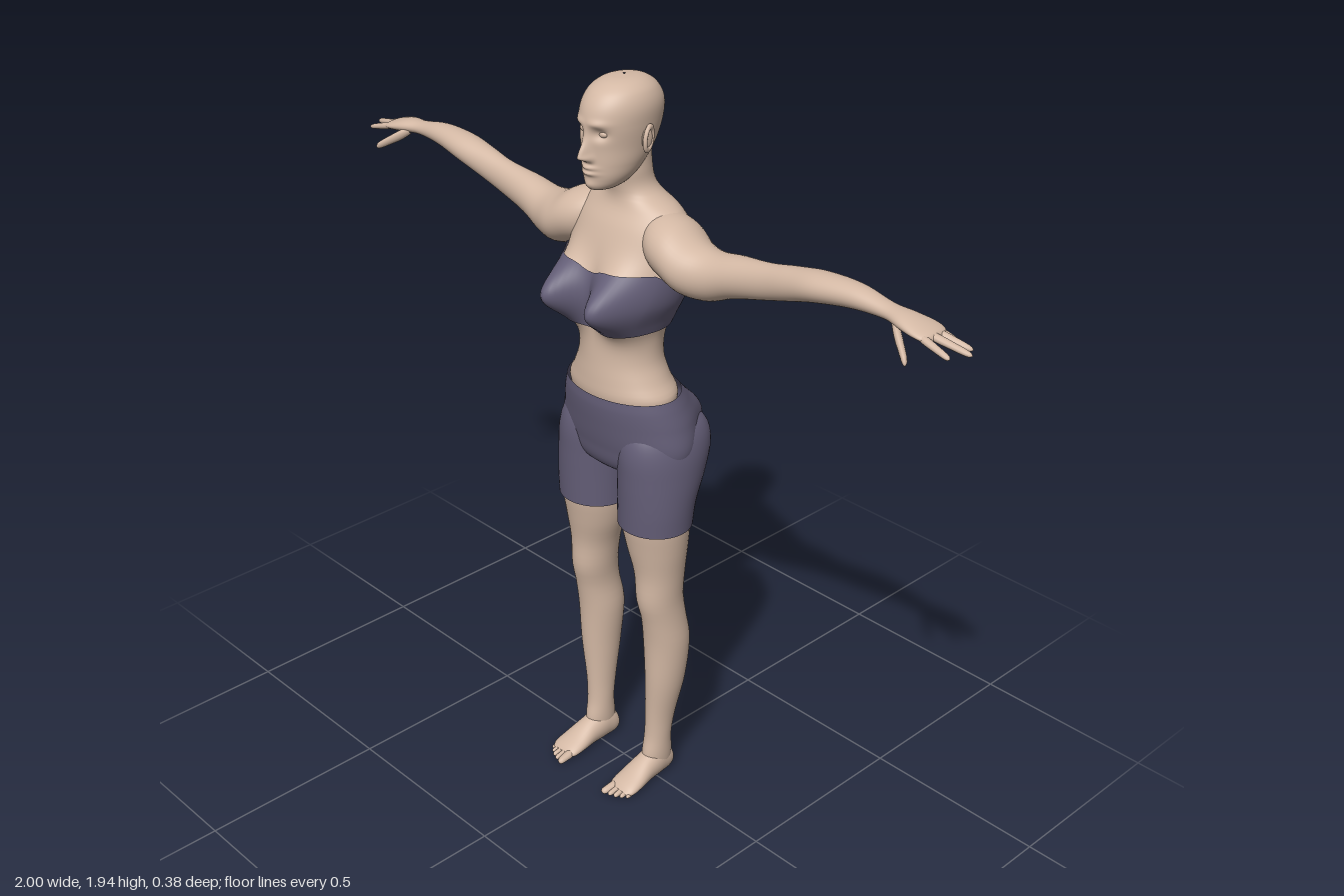
import * as THREE from 'three';

const skin = new THREE.MeshStandardMaterial({ color: 0xd3b8a4 });
skin.name = 'skin';
const cloth = new THREE.MeshStandardMaterial({ color: 0x635d76, side: THREE.DoubleSide });
cloth.name = 'cloth';

const bell = (d, s) => Math.exp(-((d / s) ** 2));

// Smooth interpolation of cross-sections [t, cosCentre, cosRadius, sinCentre, sinRadius]
function sample(sec, t) {
  let i = 0;
  while (i < sec.length - 2 && t > sec[i + 1][0]) i++;
  const p = sec[i], q = sec[i + 1], h = q[0] - p[0], u = (t - p[0]) / h;
  const slope = (k, c) => {
    const a = sec[Math.max(k - 1, 0)], b = sec[Math.min(k + 1, sec.length - 1)];
    return (b[c] - a[c]) / (b[0] - a[0]);
  };
  return [1, 2, 3, 4].map((c) => {
    const u2 = u * u, u3 = u2 * u;
    return (2 * u3 - 3 * u2 + 1) * p[c] + (u3 - 2 * u2 + u) * h * slope(i, c)
      + (3 * u2 - 2 * u3) * q[c] + (u3 - u2) * h * slope(i + 1, c);
  });
}

// Closed-around surface from a rule (v, angle) -> [x, y, z]
function surface(rows, seg, fn) {
  const pos = [], idx = [];
  for (let i = 0; i <= rows; i++) {
    for (let j = 0; j < seg; j++) pos.push(...fn(i / rows, (j / seg) * Math.PI * 2));
  }
  for (let i = 0; i < rows; i++) {
    for (let j = 0; j < seg; j++) {
      const a = i * seg + j, b = i * seg + (j + 1) % seg;
      idx.push(a, b, a + seg, b, b + seg, a + seg);
    }
  }
  const g = new THREE.BufferGeometry();
  g.setAttribute('position', new THREE.Float32BufferAttribute(pos, 3));
  g.setIndex(idx);
  g.computeVertexNormals();
  return g;
}

// Point on a loft along the given axis
function point(axis, sec, t, a, grow = 0) {
  const [c, rc, s, rs] = sample(sec, t);
  const p = c + (rc + grow) * Math.cos(a), q = s + (rs + grow) * Math.sin(a);
  return axis === 'y' ? [q, t, p] : axis === 'x' ? [t, p, q] : [p, q, t];
}

function loft(axis, sec, rows, seg, rule = (p) => p) {
  const t0 = sec[0][0], t1 = sec[sec.length - 1][0];
  return surface(rows, seg, (v, a) =>
    rule(point(axis, sec, t0 + (t1 - t0) * (1 - Math.cos(Math.PI * v)) / 2, a), a));
}

function mirrored(geo) {
  const g = geo.clone().scale(-1, 1, 1), ix = g.index.array;
  for (let i = 0; i < ix.length; i += 3) [ix[i], ix[i + 1]] = [ix[i + 1], ix[i]];
  g.computeVertexNormals();
  return g;
}

// Upright sections given as [y, zFront, zBack, xCentre, xRadius]
const upright = (list) => list.map(([y, f, b, x, r]) => [y, (f + b) / 2, (f - b) / 2, x, r]);

const torso = upright([
  [1.05, 0.08, -0.08, 0, 0.13], [1.16, 0.108, -0.104, 0, 0.158], [1.2, 0.108, -0.094, 0, 0.135],
  [1.25, 0.104, -0.086, 0, 0.113], [1.31, 0.1, -0.092, 0, 0.111], [1.36, 0.1, -0.11, 0, 0.127],
  [1.42, 0.1, -0.124, 0, 0.155], [1.48, 0.095, -0.131, 0, 0.167], [1.54, 0.08, -0.136, 0, 0.172],
  [1.59, 0.06, -0.13, 0, 0.165], [1.63, 0.037, -0.112, 0, 0.128], [1.655, 0.032, -0.095, 0, 0.078],
  [1.68, 0.036, -0.082, 0, 0.057], [1.72, 0.045, -0.074, 0, 0.052], [1.78, 0.04, -0.07, 0, 0.05],
]);
// Bust on the front, spine groove on the back
const torsoRule = ([x, y, z], a) => {
  const c = Math.cos(a);
  if (c > 0) z += 0.105 * bell(Math.abs(x) - 0.083, 0.055) * bell(y - 1.418, 0.072) * Math.min(1, c * 2.5);
  else z += 0.012 * bell(x, 0.022) * bell(y - 1.4, 0.2);
  return [x, y, z];
};

const pelvis = upright([
  [0.925, 0.03, -0.05, 0, 0.09], [0.96, 0.08, -0.1, 0, 0.175], [1.02, 0.098, -0.132, 0, 0.204],
  [1.09, 0.11, -0.14, 0, 0.192], [1.135, 0.115, -0.125, 0, 0.177], [1.163, 0.114, -0.11, 0, 0.165],
]);
const pelvisRule = ([x, y, z], a) => {
  const c = Math.cos(a);
  if (c < 0) z -= 0.056 * bell(Math.abs(x) - 0.085, 0.06) * bell(y - 1.05, 0.07) * Math.min(1, -c * 2);
  return [x, y, z];
};
const shortLeg = upright([
  [0.805, 0.09, -0.097, 0.11, 0.097], [0.87, 0.092, -0.108, 0.111, 0.099], [0.95, 0.094, -0.145, 0.109, 0.102],
  [1.02, 0.094, -0.168, 0.105, 0.1], [1.07, 0.08, -0.15, 0.1, 0.085], [1.1, 0.05, -0.08, 0.1, 0.05],
]);
const leg = upright([
  [0.03, 0.02, -0.06, 0.112, 0.028], [0.07, 0.03, -0.063, 0.112, 0.032], [0.13, 0.021, -0.058, 0.113, 0.033],
  [0.2, 0.02, -0.068, 0.116, 0.036], [0.32, 0.025, -0.09, 0.124, 0.049], [0.44, 0.03, -0.1, 0.125, 0.057],
  [0.52, 0.042, -0.086, 0.126, 0.052], [0.58, 0.056, -0.078, 0.123, 0.054], [0.66, 0.057, -0.08, 0.12, 0.063],
  [0.74, 0.07, -0.087, 0.113, 0.081], [0.82, 0.082, -0.091, 0.11, 0.092], [0.9, 0.08, -0.09, 0.11, 0.09],
]);
const foot = [
  [-0.072, 0.108, 0.004, 0.034, 0.004], [-0.062, 0.108, 0.024, 0.035, 0.03], [-0.02, 0.11, 0.033, 0.045, 0.048],
  [0.03, 0.112, 0.036, 0.037, 0.04], [0.08, 0.114, 0.042, 0.024, 0.026], [0.115, 0.115, 0.041, 0.016, 0.016],
  [0.13, 0.114, 0.03, 0.014, 0.006],
];
const arm = [
  [0.07, 1.575, 0.05, -0.035, 0.05], [0.12, 1.562, 0.068, -0.028, 0.08], [0.17, 1.549, 0.072, -0.02, 0.085],
  [0.22, 1.529, 0.067, -0.014, 0.077], [0.28, 1.524, 0.061, -0.018, 0.06], [0.35, 1.543, 0.052, -0.02, 0.048],
  [0.45, 1.565, 0.044, -0.016, 0.035], [0.52, 1.583, 0.041, -0.016, 0.038], [0.6, 1.602, 0.036, -0.015, 0.043],
  [0.7, 1.612, 0.028, -0.018, 0.034], [0.79, 1.607, 0.018, -0.018, 0.025], [0.84, 1.603, 0.018, -0.016, 0.036],
  [0.885, 1.595, 0.014, -0.02, 0.044], [0.91, 1.59, 0.009, -0.02, 0.034], [0.917, 1.588, 0.001, -0.02, 0.005],
];
const head = upright([
  [1.683, 0.09, 0.06, 0, 0.006], [1.69, 0.105, 0.02, 0, 0.03], [1.715, 0.113, -0.02, 0, 0.053],
  [1.75, 0.115, -0.055, 0, 0.066], [1.79, 0.116, -0.084, 0, 0.073], [1.84, 0.121, -0.102, 0, 0.08],
  [1.88, 0.113, -0.102, 0, 0.081], [1.91, 0.093, -0.086, 0, 0.071], [1.928, 0.066, -0.064, 0, 0.053],
  [1.937, 0.037, -0.037, 0, 0.03], [1.94, 0.003, -0.003, 0, 0.003],
]);
// Nose, eye sockets, brow, lips and chin
const faceRule = ([x, y, z], a) => {
  if (Math.cos(a) > 0.2) {
    const e = Math.abs(x);
    z += 0.03 * bell(x, 0.012) * bell(y - 1.772, y < 1.772 ? 0.011 : 0.034);
    z += 0.008 * bell(e - 0.012, 0.007) * bell(y - 1.768, 0.009);
    z -= 0.013 * bell(e - 0.031, 0.017) * bell(y - 1.826, 0.014);
    z += 0.005 * bell(e - 0.03, 0.022) * bell(y - 1.85, 0.009);
    z += 0.009 * bell(x, 0.021) * (bell(y - 1.745, 0.006) + bell(y - 1.731, 0.006));
    z += 0.005 * bell(x, 0.02) * bell(y - 1.7, 0.012);
  }
  return [x, y, z];
};

// Rounded digit along an axis between two ends [t, cosPos, sinPos], with cos and sin radii
function digit(axis, A, B, rc, rs) {
  const sec = [[0, 0.7], [0.3, 1], [0.6, 0.9], [0.9, 0.72], [0.97, 0.45], [1, 0.02]].map(([u, k]) => {
    const m = A.map((n, i) => n + (B[i] - n) * u);
    return [m[0], m[1], rc * k, m[2], rs * k];
  });
  return loft(axis, sec, 14, 12);
}

export function createModel() {
  const model = new THREE.Group();
  const add = (name, geo, mat = skin) => {
    const mesh = new THREE.Mesh(geo, mat);
    mesh.name = name;
    model.add(mesh);
  };
  const pair = (name, geo, mat) => {
    add('left' + name, geo, mat);
    add('right' + name, mirrored(geo), mat);
  };

  add('torsoAndNeck', loft('y', torso, 90, 80, torsoRule));
  add('head', loft('y', head, 130, 128, faceRule));

  // Bandeau: low under the arms, small notch at the centre front
  add('bandeauTop', surface(36, 96, (v, a) => {
    const c = Math.cos(a), s = Math.sin(a);
    const top = 1.465 + (c > 0 ? 0.035 * Math.min(1, c * 2) - 0.018 * bell(s, 0.2) : -0.015 * bell(c + 0.3, 0.25));
    return torsoRule(point('y', torso, 1.34 + (top - 1.34) * v, a, 0.006), a);
  }), cloth);

  add('shortsHips', loft('y', pelvis, 50, 80, pelvisRule), cloth);
  pair('ShortsLeg', loft('y', shortLeg, 30, 48), cloth);
  pair('Leg', loft('y', leg, 60, 40));
  pair('Arm', loft('x', arm, 80, 40));

  // Feet with flat soles, toes from big to little
  pair('Foot', loft('z', foot, 36, 32, ([x, y, z]) => [x, Math.max(y, 0.002), z]));
  [[0.087, 0.163, 0.013], [0.106, 0.158, 0.009], [0.122, 0.152, 0.009], [0.136, 0.143, 0.008], [0.148, 0.132, 0.008]]
    .forEach(([x, z, r], i) => pair('Toe' + (i + 1),
      digit('z', [z - 0.06, x * 0.8 + 0.023, 0.016], [z, x, 0.01], r, Math.min(r, 0.011))));

  // Fingers [tip x, tip y, tip z, knuckle z], then the thumb
  [[0.975, 1.571, 0.015, 0.008], [0.998, 1.572, -0.03, -0.01], [0.977, 1.568, -0.06, -0.03], [0.925, 1.562, -0.08, -0.048]]
    .forEach(([x, y, z, kz], i) => pair('Finger' + (i + 1),
      digit('x', [i === 3 ? 0.855 : 0.875, 1.597, kz], [x, y, z], 0.009, 0.0105)));
  pair('Thumb', digit('x', [0.815, 1.598, 0], [0.897, 1.545, 0.056], 0.014, 0.012));

  // Eyelids and ears
  pair('Eye', new THREE.SphereGeometry(0.0115, 20, 14).scale(1.15, 0.75, 0.8).translate(0.031, 1.826, 0.094));
  pair('EarRim', new THREE.TorusGeometry(0.02, 0.0055, 10, 28).scale(0.8, 1.35, 1)
    .rotateY(Math.PI / 2 + 0.3).rotateX(-0.15).translate(0.083, 1.807, 0.002));
  pair('EarBowl', new THREE.SphereGeometry(0.02, 18, 14).scale(0.3, 1.3, 0.8).translate(0.079, 1.805, 0.003));
  return model;
}
